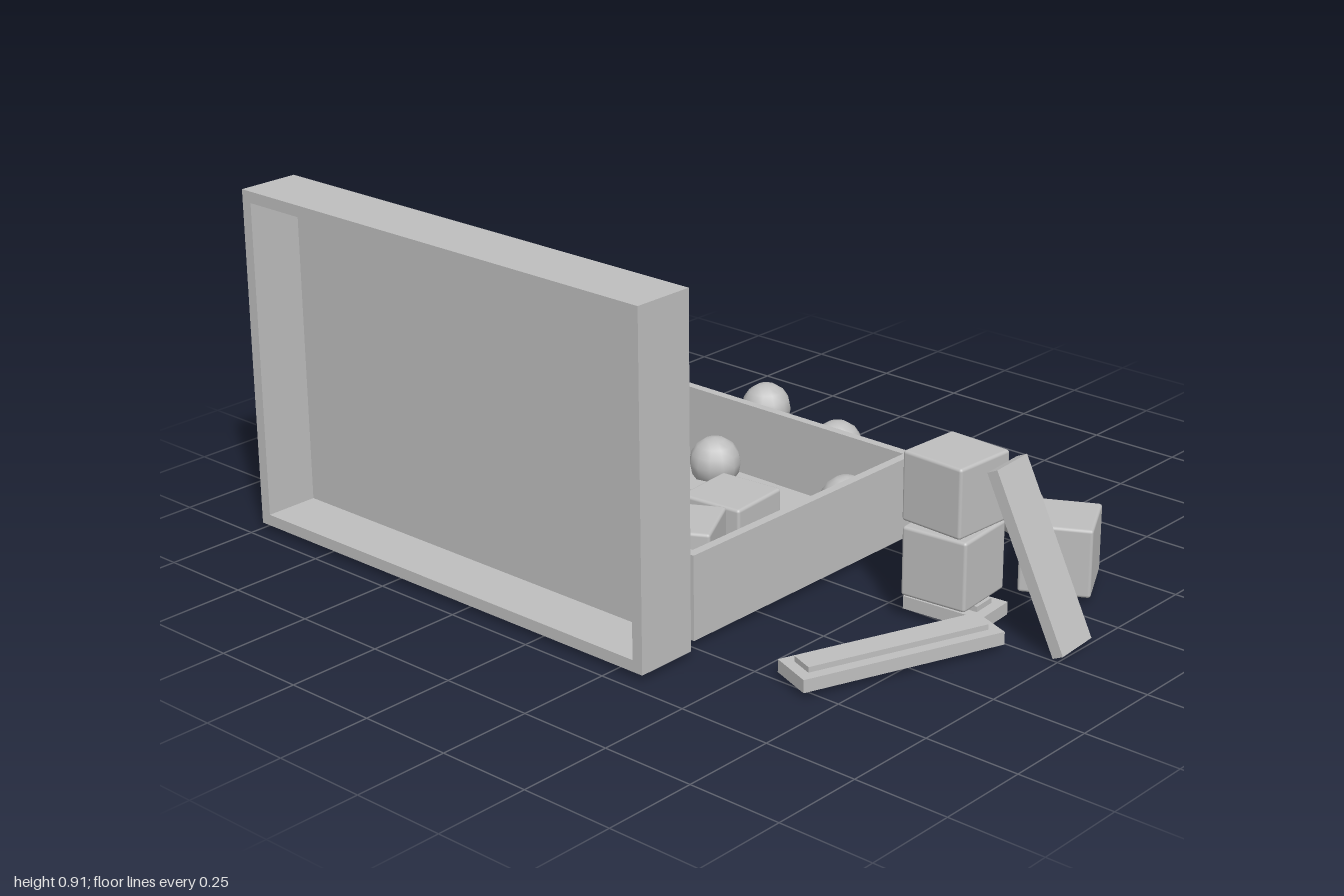
import * as THREE from 'three';
import { RoundedBoxGeometry } from 'three/addons/geometries/RoundedBoxGeometry.js';

export function createModel() {
  const model = new THREE.Group();
  model.name = 'toyChest';
  const grey = new THREE.MeshStandardMaterial({ color: 0xbfbfbf });
  grey.name = 'plainGrey';

  function add(parent, name, geometry, x = 0, y = 0, z = 0) {
    const mesh = new THREE.Mesh(geometry, grey);
    mesh.name = name;
    mesh.position.set(x, y, z);
    parent.add(mesh);
    return mesh;
  }
  function box(parent, name, w, h, d, x, y, z) {
    return add(parent, name, new THREE.BoxGeometry(w, h, d), x, y, z);
  }
  function group(name, x, y, z, parent = model) {
    const g = new THREE.Group();
    g.name = name;
    g.position.set(x, y, z);
    parent.add(g);
    return g;
  }

  // Open tray with its base at y = 0 and a thin plate under it
  function tray(name, w, h, d, wall, inset) {
    const g = group(name, 0, 0, 0);
    box(g, 'floor', w - 2 * wall, 0.02, d - 2 * wall, 0, 0.01, 0);
    box(g, 'basePlate', w - 2 * inset, 0.006, d - 2 * inset, 0, -0.003, 0);
    for (const s of [-1, 1]) {
      box(g, 'sideWall', wall, h, d, s * (w - wall) / 2, h / 2, 0);
      box(g, 'endWall', w - 2 * wall, h, wall, 0, h / 2, s * (d - wall) / 2);
    }
    return g;
  }

  // Chest body
  const body = tray('chestBody', 0.844, 0.22, 1.286, 0.024, 0.035);
  body.position.set(-0.075, 0.015, -0.335);

  // Lid standing on edge, hollow side outwards
  const lid = tray('chestLid', 0.898, 0.167, 1.34, 0.03, 0.054);
  lid.rotation.z = Math.PI / 2;
  lid.position.set(-0.543, 0.464, -0.33);

  // Lid decoration: panel with four squares, ramp with three discs
  const decor = group('lidDecoration', -0.537, 0, 0);
  box(decor, 'signPlate', 0.005, 0.14, 0.6, 0.002, 0.74, -0.56);
  for (let i = 0; i < 4; i++) {
    box(decor, 'signSquare', 0.005, 0.066, 0.085, 0.006, 0.742, -0.39 - i * 0.128);
  }
  const ramp = box(decor, 'ramp', 0.014, 0.035, 0.88, 0.006, 0.4, -0.395);
  ramp.rotation.x = -0.37;
  for (const [y, z] of [[0.535, -0.16], [0.435, -0.435], [0.325, -0.71]]) {
    const disc = add(decor, 'rampDisc', new THREE.CylinderGeometry(0.045, 0.045, 0.028, 16), 0.014, y, z);
    disc.rotation.z = Math.PI / 2;
  }

  // Balls around and inside the chest
  const ballGeometry = new THREE.SphereGeometry(0.069, 12, 8);
  for (const [x, y, z] of [
    [0.456, 0.085, -0.87], [0.64, 0.085, -0.445], [0.55, 0.085, -0.115], [0.515, 0.085, 0.515],
    [-0.387, 0.1, -0.225], [0.217, 0.1, -0.26], [0.2, 0.12, 0.2],
  ]) add(model, 'ball', ballGeometry, x, y, z);

  // Cube blocks: x, centre height, z, turn
  const cubeGeometry = new RoundedBoxGeometry(0.18, 0.18, 0.18, 2, 0.008);
  for (const [x, y, z, turn] of [
    [0.35, 0.105, 0.755, 0.48],
    [0.035, 0.345, 0.665, -0.05], [0.033, 0.158, 0.665, 0.09],
    [0.165, 0.125, -0.76, 0.29], [0.147, 0.125, -0.505, -0.23],
    [-0.313, 0.125, 0.105, 0.5], [-0.112, 0.125, 0.085, 0.09],
  ]) add(model, 'cubeBlock', cubeGeometry, x, y, z, turn).rotation.y = turn;

  // Planks with a raised top and a hollow underside: x, base, z, turn, length
  for (const [x, y, z, turn, length] of [
    [-0.26, 0.015, 0.715, Math.PI / 2 - 0.365, 0.54],
    [0.04, 0.015, 0.67, 0.08, 0.22],
    [-0.297, 0.035, -0.63, 0.09, 0.54],
    [-0.165, 0.06, -0.595, -0.045, 0.54],
    [0.11, 0.045, -0.04, 0.19, 0.55],
  ]) {
    const plank = group('plank', x, y, z);
    plank.rotation.y = turn;
    box(plank, 'plankSlab', 0.122, 0.015, length, 0, 0.0255, 0);
    box(plank, 'plankTop', 0.066, 0.014, length - 0.056, 0, 0.04, 0);
    for (const s of [-1, 1]) {
      box(plank, 'plankEdge', 0.02, 0.018, length, s * 0.051, 0.009, 0);
      box(plank, 'plankEnd', 0.082, 0.018, 0.02, 0, 0.009, s * (length / 2 - 0.01));
    }
  }

  // Plank leaning on the stacked blocks
  const leaning = box(model, 'leaningPlank', 0.13, 0.465, 0.03, 0.067, 0.217, 0.892);
  leaning.rotation.order = 'YXZ';
  leaning.rotation.set(-0.435, 0.07, 0);

  // Eight-sided tapered block
  const taper = new THREE.CylinderGeometry(0.055, 0.137, 0.13, 8).toNonIndexed();
  taper.computeVertexNormals();
  add(model, 'taperedBlock', taper, -0.06, 0.1, -0.26);

  return model;
}
